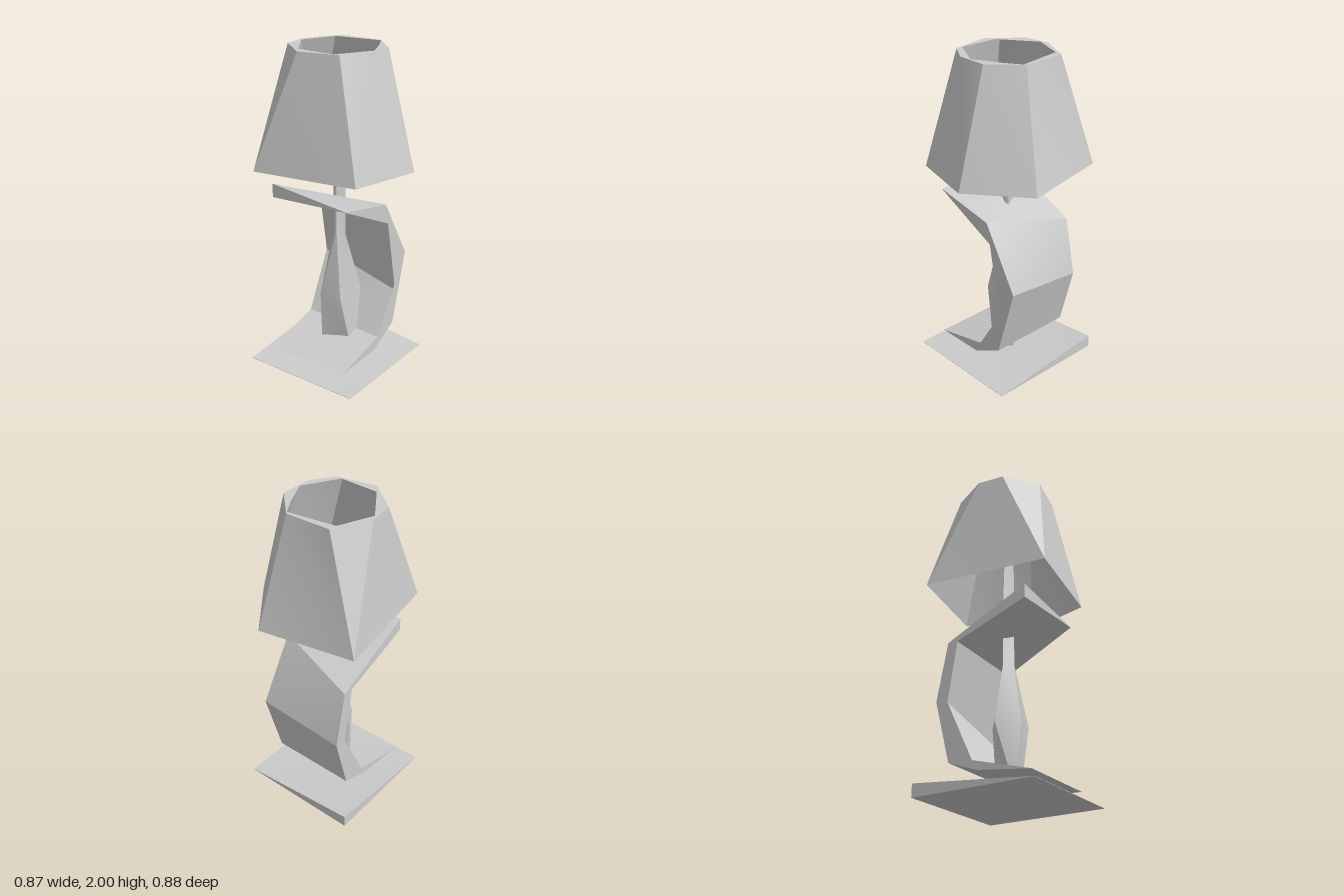
import * as THREE from 'three';
import { toCreasedNormals } from 'three/addons/utils/BufferGeometryUtils.js';

const material = new THREE.MeshStandardMaterial({ color: 0xcccccc, side: THREE.DoubleSide });

// Skins a list of rings (equal point counts, points are [x, y, z]) with creased facets.
// flip selects the other diagonal of each four-cornered face.
function loft(name, rings, { capStart = false, capEnd = false, flip = false } = {}) {
  const pos = [];
  const tri = (a, b, c) => {
    const [A, B, C] = [a, b, c].map((p) => new THREE.Vector3(...p));
    const area = B.sub(A).cross(C.sub(A)).length();
    if (area > 1e-6) pos.push(...a, ...b, ...c); // skip collapsed corners
  };
  for (let i = 0; i < rings.length - 1; i++) {
    const lo = rings[i], hi = rings[i + 1];
    for (let j = 0; j < lo.length; j++) {
      const k = (j + 1) % lo.length;
      tri(lo[j], flip ? hi[j] : hi[k], lo[k]);
      tri(flip ? lo[k] : lo[j], hi[j], hi[k]);
    }
  }
  const first = rings[0], last = rings[rings.length - 1];
  for (let j = 1; j < first.length - 1; j++) {
    if (capStart) tri(first[0], first[j], first[j + 1]);
    if (capEnd) tri(last[0], last[j + 1], last[j]);
  }
  const geometry = new THREE.BufferGeometry();
  geometry.setAttribute('position', new THREE.Float32BufferAttribute(pos, 3));
  const mesh = new THREE.Mesh(toCreasedNormals(geometry, 0.4), material);
  mesh.name = name;
  return mesh;
}

// Places [x, z] pairs at one height.
const level = (y, points) => points.map(([x, z]) => [x, y, z]);

// Square foot plate, raised at one back corner only
function createBase() {
  const corners = [[0.352, -0.367], [0.352, 0.413], [-0.425, 0.413], [-0.425, -0.367]];
  const heights = [0.002, 0.002, 0.002, 0.08];
  const top = corners.map(([x, z], i) => [x, heights[i], z]);
  return loft('base', [level(0, corners), top], { capStart: true, capEnd: true });
}

// Curved band behind the stem; each station gives [z, y] for
// outer +x, outer -x, inner -x and inner +x corners
function createBand() {
  const stations = [
    [[0.295, 1.13], [0.295, 1.185], [0.295, 1.10], [0.295, 1.128]],
    [[-0.11, 1.05], [-0.237, 0.94], [-0.17, 0.935], [-0.164, 0.905]],
    [[-0.34, 0.655], [-0.31, 0.58], [-0.23, 0.565], [-0.233, 0.425]],
    [[-0.21, 0.20], [-0.21, 0.20], [-0.05, 0.19], [-0.04, 0.17]],
    [[0.0, 0.09], [-0.02, 0.13], [-0.05, 0.19], [-0.04, 0.17]],
    [[0.33, 0.083], [0.33, 0.083], [0.33, 0.083], [0.33, 0.083]],
  ];
  const xs = [0.235, -0.31, -0.31, 0.235];
  const rings = stations.map((s) => s.map(([z, y], i) => [xs[i], y, z]));
  return loft('curvedBand', rings, { capStart: true, flip: true });
}

// Bulging faceted stem; corners run left, back, right back, right front, front
function createStem() {
  const neck = [[-0.078, 0], [-0.01, -0.033], [0, -0.015], [-0.022, 0.043], [-0.03, 0.045]];
  return loft('stem', [
    level(0.055, [[-0.1, 0.03], [-0.01, -0.085], [0.075, -0.025], [0.072, 0.02], [-0.1, 0.095]]),
    level(0.45, [[-0.165, 0], [-0.05, -0.09], [0.055, -0.105], [0.045, 0.1], [-0.085, 0.13]]),
    level(0.84, neck),
    level(1.3, neck),
    level(1.65, [[-0.06, 0], [-0.012, -0.024], [-0.006, -0.01], [-0.025, 0.04], [-0.028, 0.04]]),
  ], { capStart: true, capEnd: true });
}

// Shade: pentagon at the bottom, eight-sided rim with an opening at the top
function createShade() {
  const [A, B, C, D, E] = [
    [-0.435, -0.32], [0.155, -0.443], [0.432, -0.1], [0.325, 0.33], [-0.325, 0.44],
  ];
  const outerBottom = level(1.3, [A, A, B, C, D, D, E, E]);
  const innerBottom = level(1.3, [A, A, B, C, C, D, E, E]);
  const rim = level(2, [
    [-0.32, -0.03], [-0.205, -0.25], [0.075, -0.265], [0.24, -0.1],
    [0.235, 0.095], [0.145, 0.235], [-0.105, 0.29], [-0.3, 0.135],
  ]);
  const opening = level(2, [
    [-0.3, 0.01], [-0.21, -0.2], [0.09, -0.25], [0.15, -0.14],
    [0.225, 0.02], [0.1, 0.24], [-0.18, 0.23], [-0.3, 0.01],
  ]);
  return loft('lampshade', [outerBottom, rim, opening, innerBottom]);
}

export function createModel() {
  const lamp = new THREE.Group();
  lamp.name = 'tableLamp';
  lamp.add(createBase(), createBand(), createStem(), createShade());
  return lamp;
}
